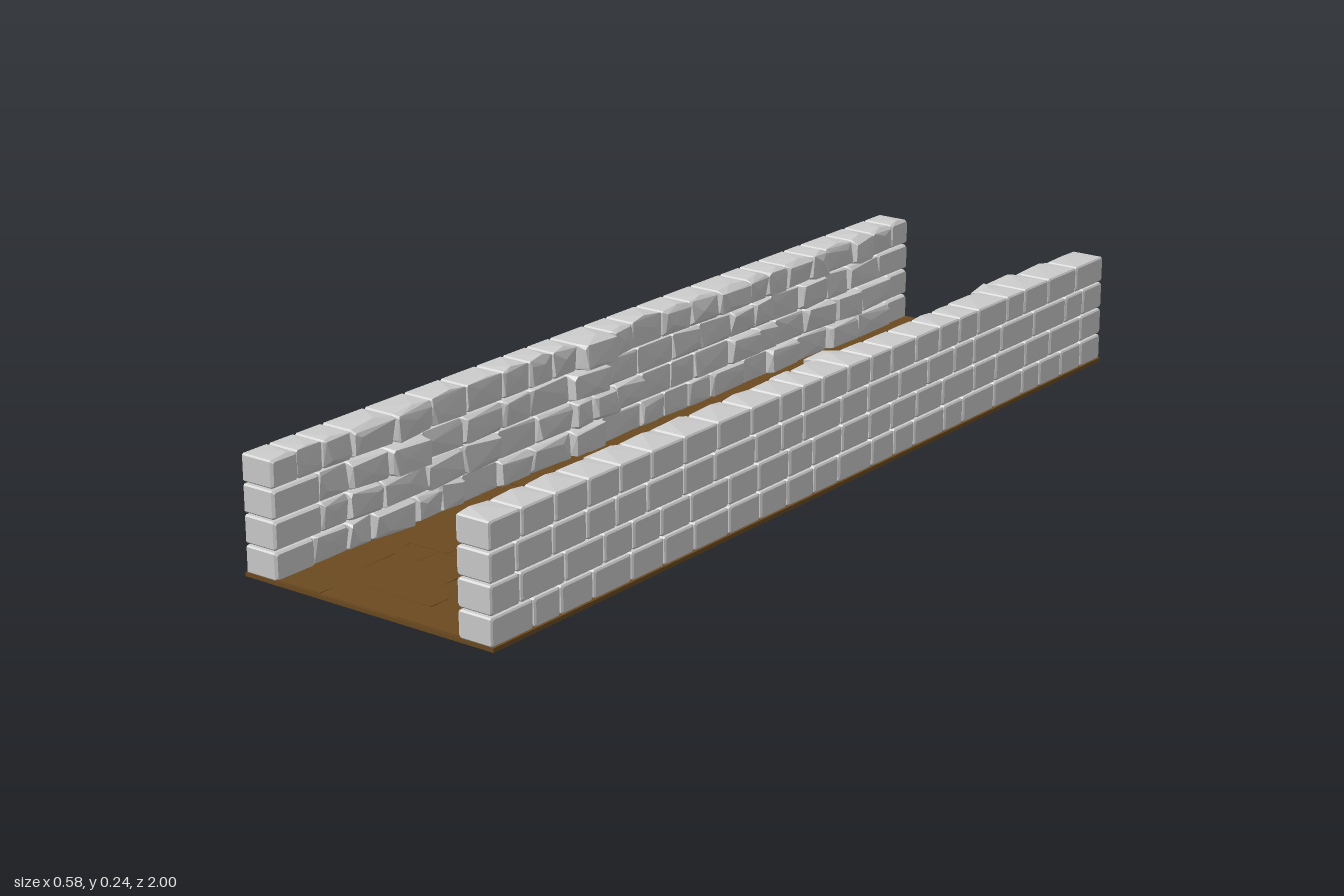
import * as THREE from 'three';
import { ConvexGeometry } from 'three/addons/geometries/ConvexGeometry.js';
import { mergeGeometries } from 'three/addons/utils/BufferGeometryUtils.js';

const OUTER = 0.287;
const GAP = 0.004;
const COURSE_TOPS = [0.005, 0.062, 0.12, 0.178, 0.235];
const COURSE_LIMIT = [0.198, 0.197, 0.184, 0.173];   // furthest reach into the passage

// Inner edge of each wall along its length: [z, distance from the centre line]
const RIGHT_EDGE = [[-1, 0.212], [-0.88, 0.196], [-0.7, 0.19], [-0.5, 0.2], [-0.35, 0.195], [-0.1, 0.203],
  [0.03, 0.2], [0.08, 0.175], [0.16, 0.196], [0.4, 0.202], [0.55, 0.196], [0.65, 0.183], [0.75, 0.192], [0.86, 0.208], [1, 0.212]];
const LEFT_EDGE = [[-1, 0.212], [-0.85, 0.195], [-0.68, 0.184], [-0.58, 0.186], [-0.5, 0.204], [-0.2, 0.204],
  [-0.13, 0.2], [-0.09, 0.174], [-0.04, 0.198], [0.2, 0.205], [0.4, 0.2], [0.5, 0.19], [0.7, 0.196], [0.8, 0.206], [0.9, 0.194], [1, 0.212]];

function seeded(seed) {
  let s = seed;
  return (a = 0, b = 1) => {
    s = (s * 1664525 + 1013904223) % 4294967296;
    return a + (b - a) * s / 4294967296;
  };
}

function edgeAt(edge, z) {
  const i = Math.max(1, edge.findIndex(p => p[0] >= z));
  const [z0, x0] = edge[i - 1], [z1, x1] = edge[i];
  return THREE.MathUtils.lerp(x0, x1, THREE.MathUtils.clamp((z - z0) / (z1 - z0), 0, 1));
}

// Eight corners of a bevelled rectangle at distance x from the centre line
function ring(x, y0, y1, z0, z1, bevel) {
  const pts = [];
  for (const [y, dy] of [[y0, bevel], [y1, -bevel]])
    for (const [z, dz] of [[z0, bevel], [z1, -bevel]])
      pts.push(new THREE.Vector3(x, y + dy, z), new THREE.Vector3(x, y, z + dz));
  return pts;
}

// Stone with a dressed outer face and a rough, uneven inner face
function stone(side, course, z0, z1, inner, atEnd, rand) {
  const y0 = COURSE_TOPS[course] + GAP / 2;
  const y1 = COURSE_TOPS[course + 1] - GAP / 2;
  const b = 0.003;
  const pts = [
    ...ring(OUTER, y0 + b, y1 - b, z0 + b, z1 - b, b),
    ...ring(OUTER - b, y0, y1, z0, z1, b),
    ...ring(0.217, y0, y1, z0, z1, b)
  ];
  if (atEnd) {
    pts.push(...ring(0.211, y0 + b, y1 - b, z0 + b, z1 - b, b));
  } else {
    // jittered inner corners
    const rough = ring(inner, y0 + 0.003, y1 - 0.003, z0 + 0.002, z1 - 0.002, 0.005);
    for (const p of rough) {
      p.x += rand(0, 0.014);
      p.y += rand(-0.003, 0.003);
      p.z += rand(-0.003, 0.003);
    }
    pts.push(...rough);
    pts.push(new THREE.Vector3(inner, rand(y0 + 0.012, y1 - 0.012), rand(z0 + 0.012, z1 - 0.012)));
  }
  // coping stones hump up slightly
  if (course === 3) {
    pts.push(new THREE.Vector3(0.22, y1 + rand(0.002, 0.006), (z0 + z1) / 2 + rand(-0.015, 0.015)));
  }
  pts.forEach(p => { p.x *= side; });
  return new ConvexGeometry(pts);
}

// Uneven stone lengths that fill the run exactly
function splitRun(from, to, lo, hi, rand) {
  const sizes = [];
  let total = 0;
  while (total < to - from) {
    const s = rand(lo, hi);
    sizes.push(s);
    total += s;
  }
  const cuts = [from];
  for (const s of sizes) cuts.push(cuts[cuts.length - 1] + s * (to - from) / total);
  return cuts;
}

function wall(side, edge, seed, material, name) {
  const rand = seeded(seed);
  const group = new THREE.Group();
  group.name = name;
  for (let course = 0; course < 4; course++) {
    const [lo, hi] = course === 3 ? [0.06, 0.115] : [0.065, 0.13];
    const cuts = splitRun(-1, 1, lo, hi, rand);
    const stones = [];
    for (let i = 0; i < cuts.length - 1; i++) {
      const z0 = cuts[i] + (i ? GAP / 2 : 0);
      const z1 = cuts[i + 1] - (i < cuts.length - 2 ? GAP / 2 : 0);
      const atEnd = i === 0 || i === cuts.length - 2;
      const reach = edgeAt(edge, (z0 + z1) / 2);
      const setBack = rand() < 0.55 ? rand(0, 0.005) : rand(0.005, 0.015);
      const inner = Math.min(0.213, Math.max(COURSE_LIMIT[course], reach + setBack));
      stones.push(stone(side, course, z0, z1, inner, atEnd, rand));
    }
    const mesh = new THREE.Mesh(mergeGeometries(stones), material);
    mesh.name = 'stoneCourse' + (course + 1);
    group.add(mesh);
  }
  return group;
}

// Earthen floor: a slab with faintly tilted boards across it
function floor(material) {
  const rand = seeded(77);
  const group = new THREE.Group();
  group.name = 'floor';
  const slab = new THREE.Mesh(new THREE.BoxGeometry(0.58, 0.008, 2), material);
  slab.name = 'floorSlab';
  slab.position.y = 0.004;
  group.add(slab);

  const boards = [];
  const rows = splitRun(-0.998, 0.998, 0.06, 0.1, rand);
  for (let r = 0; r < rows.length - 1; r++) {
    const cuts = splitRun(-0.225, 0.225, 0.1, 0.26, rand);
    for (let c = 0; c < cuts.length - 1; c++) {
      const w = cuts[c + 1] - cuts[c], d = rows[r + 1] - rows[r];
      const board = new THREE.BoxGeometry(w, 0.004, d);
      board.rotateX(rand(-0.02, 0.02));
      board.rotateZ(rand(-0.006, 0.006));
      board.translate((cuts[c] + cuts[c + 1]) / 2, rand(0.0065, 0.0085), (rows[r] + rows[r + 1]) / 2);
      boards.push(board);
    }
  }
  const mesh = new THREE.Mesh(mergeGeometries(boards), material);
  mesh.name = 'floorBoards';
  group.add(mesh);
  return group;
}

export function createModel() {
  const stoneMaterial = new THREE.MeshStandardMaterial({ color: 0xcccccc, flatShading: true });
  const earthMaterial = new THREE.MeshStandardMaterial({ color: 0x6b4a20, flatShading: true });

  const model = new THREE.Group();
  model.name = 'walledPath';
  model.add(floor(earthMaterial));
  model.add(wall(1, LEFT_EDGE, 11, stoneMaterial, 'leftWall'));
  model.add(wall(-1, RIGHT_EDGE, 29, stoneMaterial, 'rightWall'));

  // one loose stone tipped out of the left wall
  const loose = new THREE.Mesh(new THREE.BoxGeometry(0.03, 0.05, 0.06), stoneMaterial);
  loose.name = 'looseStone';
  loose.position.set(0.211, 0.14, 0.44);
  loose.rotation.set(0.45, 0.15, 0.1);
  model.add(loose);
  return model;
}
